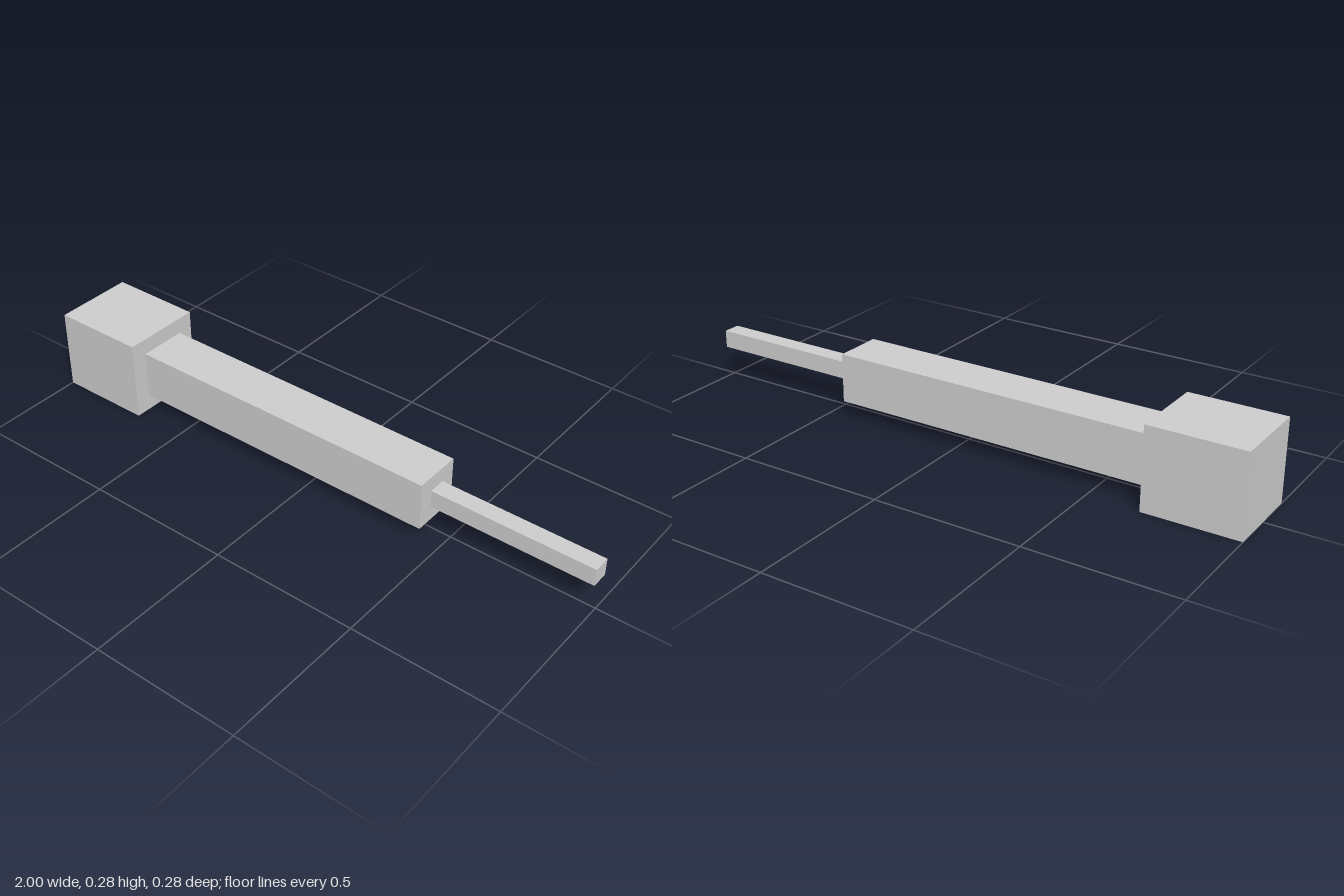
import * as THREE from 'three';

export function createModel() {
  const group = new THREE.Group();
  const material = new THREE.MeshStandardMaterial({ color: 0xcccccc, flatShading: true });
  const axisY = 0.1385;

  // Square bar along x, centred on the common axis
  function addBar(name, x0, x1, size) {
    const mesh = new THREE.Mesh(new THREE.BoxGeometry(x1 - x0, size, size), material);
    mesh.name = name;
    mesh.position.set((x0 + x1) / 2, axisY, 0);
    group.add(mesh);
  }

  addBar('handleBlock', -1, -0.68, 0.277);
  addBar('shaft', -0.68, 0.44, 0.166);
  addBar('tip', 0.44, 1, 0.06);

  return group;
}
